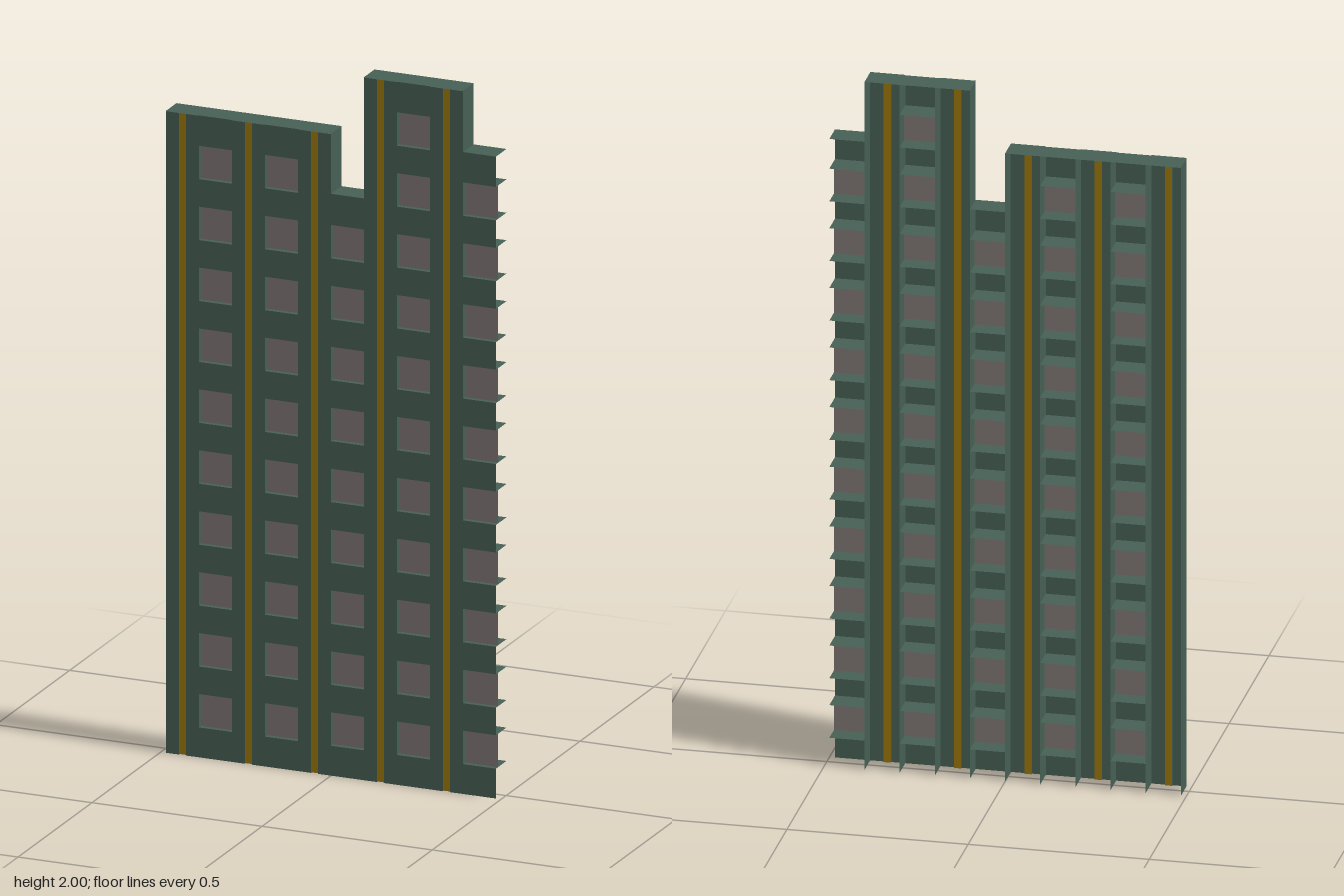
import * as THREE from 'three';

const paint = (color) => new THREE.MeshStandardMaterial({ color, side: THREE.DoubleSide });

export function createModel() {
  const model = new THREE.Group();
  model.name = 'towerFacade';
  const green = paint(0x465f54), gold = paint(0x9a7608), glass = paint(0x7d7573);

  const FRONT = 0.034, BACK = -0.037, PANE = 0.02, STRIP = 0.029;
  const CELL = 0.097, LEFT = -0.485;
  const FLOOR = 0.1733, SILL = 0.085, WINDOW = 0.095;

  const add = (parent, name, geometry, material) => {
    const mesh = new THREE.Mesh(geometry, material);
    mesh.name = name;
    parent.add(mesh);
  };
  // Sheet facing the front
  const wall = (parent, name, x0, x1, y0, y1, z, material) =>
    add(parent, name, new THREE.PlaneGeometry(x1 - x0, y1 - y0)
      .translate((x0 + x1) / 2, (y0 + y1) / 2, z), material);
  // Upright sheet running from front to back
  const fin = (parent, name, x, y0, y1, z0, z1) =>
    add(parent, name, new THREE.PlaneGeometry(z1 - z0, y1 - y0)
      .rotateY(Math.PI / 2).translate(x, (y0 + y1) / 2, (z0 + z1) / 2), green);
  // Level sheet
  const shelf = (parent, name, x0, x1, y, z0, z1) =>
    add(parent, name, new THREE.PlaneGeometry(x1 - x0, z1 - z0)
      .rotateX(-Math.PI / 2).translate((x0 + x1) / 2, y, (z0 + z1) / 2), green);

  // Pillar bays: hollow channel with a gold strip set into the face
  [1.826, 1.826, 1.826, 2, 2].forEach((top, i) => {
    const bay = new THREE.Group();
    bay.name = 'pillarBay';
    model.add(bay);
    const x0 = LEFT + i * 2 * CELL, x1 = x0 + CELL, mid = (x0 + x1) / 2;
    const s0 = mid - 0.01, s1 = mid + 0.01;
    wall(bay, 'pillarFace', x0, s0, 0, top, FRONT, green);
    wall(bay, 'pillarFace', s1, x1, 0, top, FRONT, green);
    wall(bay, 'goldStrip', s0, s1, 0, top, STRIP, gold);
    for (const x of [s0, s1]) fin(bay, 'stripReveal', x, 0, top, STRIP, FRONT);
    for (const x of [x0, x1]) fin(bay, 'pillarSide', x, 0, top, BACK, FRONT);
    shelf(bay, 'roof', x0, x1, top, BACK, FRONT + 0.003);
  });

  // Window bays: recessed panes between sills, lintels and spandrels
  [[1.826, 10], [1.826, 10], [1.655, 9], [2, 11], [1.826, 10]].forEach(([top, count], i) => {
    const bay = new THREE.Group();
    bay.name = 'windowBay';
    model.add(bay);
    const x0 = LEFT + (i * 2 + 1) * CELL, x1 = x0 + CELL;
    let y = 0;
    for (let n = 0; n < count; n++) {
      const y0 = SILL + n * FLOOR, y1 = y0 + WINDOW;
      wall(bay, 'spandrel', x0, x1, y, y0, FRONT, green);
      wall(bay, 'windowPane', x0, x1, y0, y1, PANE, glass);
      shelf(bay, 'sill', x0, x1, y0, BACK, FRONT);
      shelf(bay, 'lintel', x0, x1, y1, BACK, FRONT);
      y = y1;
    }
    wall(bay, 'spandrel', x0, x1, y, top, FRONT, green);
    shelf(bay, 'roof', x0, x1, top, BACK, FRONT);
  });

  return model;
}
